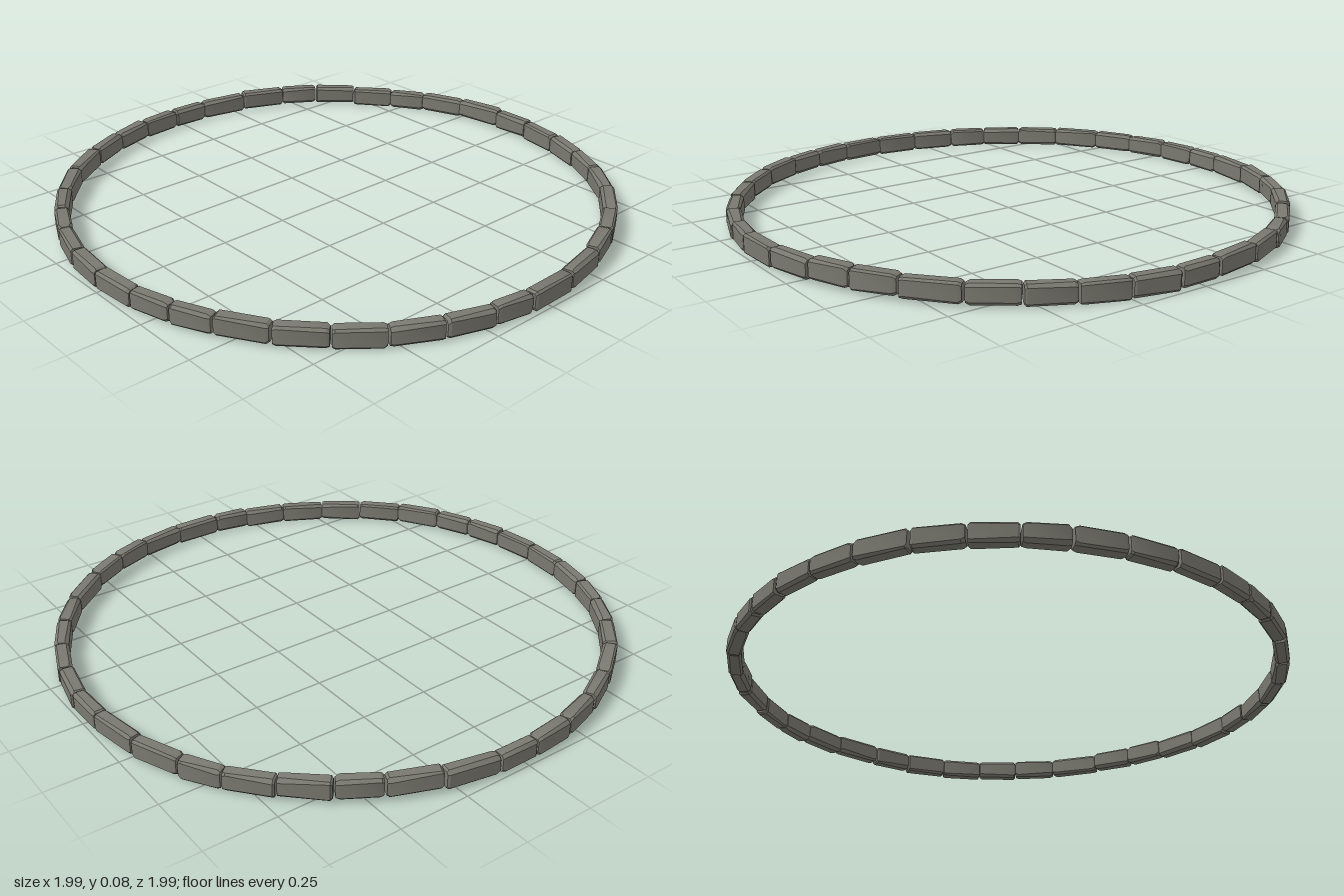
import * as THREE from 'three';
import { toCreasedNormals } from 'three/addons/utils/BufferGeometryUtils.js';

// Angles of the joints between stones, in degrees clockwise from the back
const JOINTS = [
  -2.5, 6, 17.1, 27.6, 36.3, 46.2, 56, 64.6, 75, 86, 94.9, 104.7, 114.1, 123.5, 133.3, 144.6, 153.9, 163, 173.6,
  184.5, 192.7, 202.5, 212.6, 222.4, 232.5, 243, 251.7, 260.7, 270.8, 280.7, 290.6, 299.4, 308.6, 318.5, 329.4,
  338.8, 348.3, 357.5];
// Height of each stone's top, in thousandths
const TOPS = [
  75, 77, 82, 83, 80, 72, 71, 75, 79, 75, 71, 71, 74, 76, 79, 84, 85, 79, 75,
  75, 70, 70, 71, 74, 78, 76, 75, 73, 73, 74, 75, 76, 77, 79, 79, 77, 75];
const RADIUS = 0.967, HEIGHT = 0.068, WIDTH = 0.05;

let seed = 7;
function rand(lo, hi) {
  seed = (seed * 16807) % 2147483647;
  return lo + (hi - lo) * seed / 2147483647;
}

// Rough block along x: eight-sided sections with uneven chamfers and narrowed ends
function stoneGeometry(half) {
  const h = HEIGHT / 2, w = WIDTH / 2;
  const stations = [-half, -half + rand(0.006, 0.014), half - rand(0.006, 0.014), half];
  const positions = [], index = [];
  stations.forEach((x, s) => {
    const k = s === 0 || s === 3 ? rand(0.8, 0.9) : 1;
    const c = [0, 1, 2, 3].map(() => rand(0.005, 0.013));
    const section = [
      [h, -w + c[0]], [h, w - c[1]], [h - c[1], w], [-h + c[2], w],
      [-h, w - c[2]], [-h, -w + c[3]], [-h + c[3], -w], [h - c[0], -w]];
    for (const [y, z] of section) positions.push(x, y * k, z * k);
  });
  for (let j = 0; j < 8; j++) {
    const n = (j + 1) % 8;
    for (let s = 0; s < 24; s += 8) index.push(s + j, s + n, s + 8 + n, s + j, s + 8 + n, s + 8 + j);
    if (j > 0 && j < 7) index.push(0, j + 1, j, 24, 24 + j, 25 + j);
  }
  const g = new THREE.BufferGeometry();
  g.setAttribute('position', new THREE.Float32BufferAttribute(positions, 3));
  g.setIndex(index);
  return toCreasedNormals(g, 0.5);
}

export function createModel() {
  const model = new THREE.Group();
  model.name = 'stoneRing';
  const stoneGrey = new THREE.MeshStandardMaterial({ color: 0x7a7970 });
  stoneGrey.name = 'stoneGrey';

  // Kerb stones laid end to end around the circle
  TOPS.forEach((top, i) => {
    const a = THREE.MathUtils.degToRad(JOINTS[i]), b = THREE.MathUtils.degToRad(JOINTS[i + 1]);
    const mid = (a + b) / 2;
    const stone = new THREE.Mesh(stoneGeometry(RADIUS * Math.sin((b - a) / 2) - 0.002), stoneGrey);
    stone.name = 'stone' + (i + 1);
    stone.position.set(RADIUS * Math.sin(mid), top / 1000 - HEIGHT / 2, -RADIUS * Math.cos(mid));
    stone.rotation.y = -mid + rand(-0.02, 0.02);
    model.add(stone);
  });
  return model;
}
